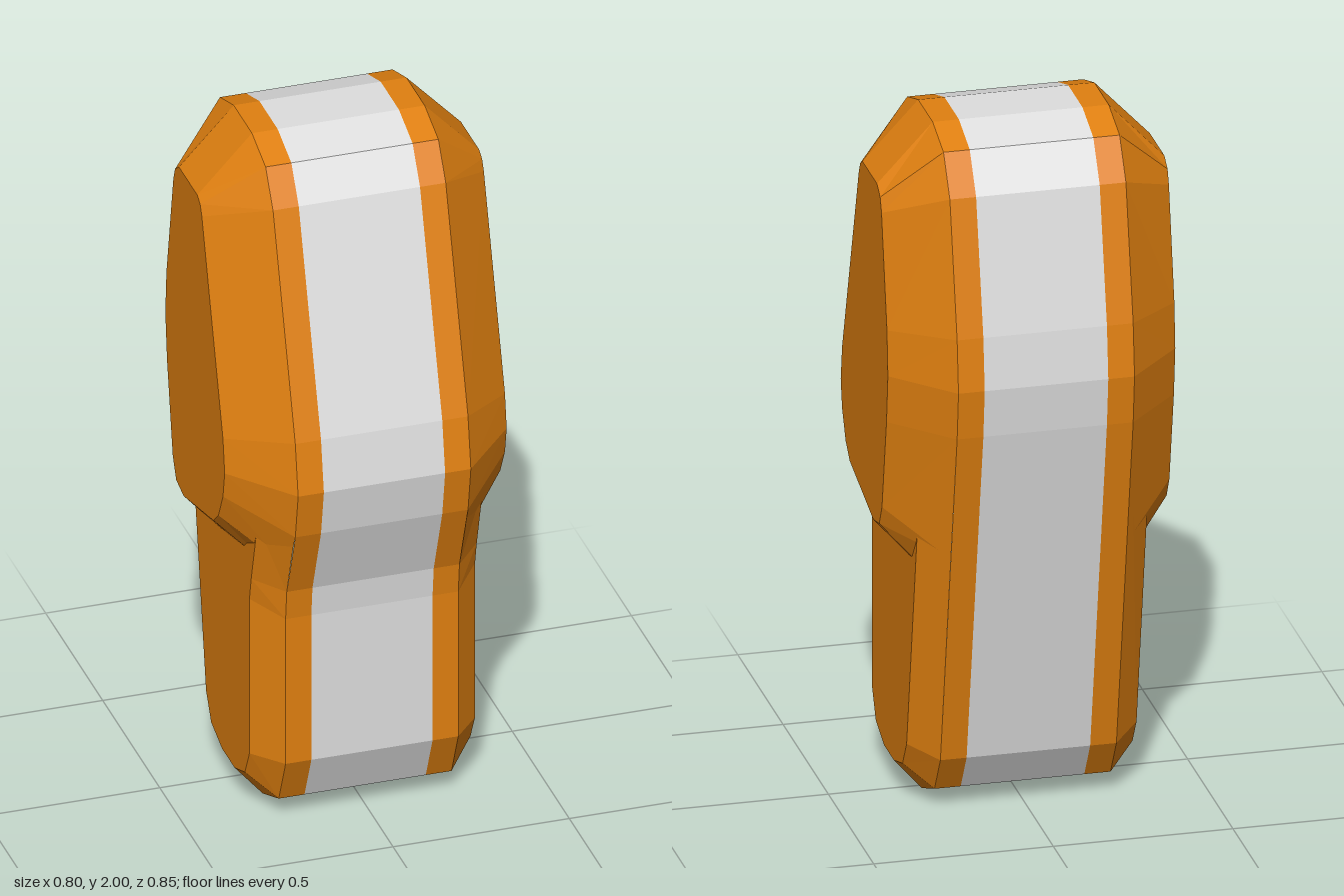
import * as THREE from 'three';

// Outlines as [z, y], running over the top, down the back and up the front.
const UPPER_RIM = [
  [0.02, 2], [-0.14, 2], [-0.26, 1.96], [-0.33, 1.85], [-0.41, 1.47], [-0.425, 1.32], [-0.41, 1.18],
  [-0.34, 0.8], [-0.25, 0.68], [-0.1, 0.66], [0.205, 0.745], [0.34, 0.82],
  [0.4, 0.95], [0.425, 1.09], [0.4, 1.24], [0.205, 1.86], [0.14, 1.96],
];
const UPPER_FACE = [
  [0.02, 1.835], [-0.14, 1.835], [-0.175, 1.81], [-0.19, 1.77], [-0.25, 1.45], [-0.26, 1.32], [-0.245, 1.18],
  [-0.195, 0.91], [-0.165, 0.85], [-0.1, 0.835], [0.16, 0.9], [0.205, 0.94],
  [0.245, 1.02], [0.26, 1.1], [0.245, 1.2], [0.06, 1.79], [0.045, 1.82],
];
const LOWER_RIM = [
  [-0.4, 1.13], [-0.225, 0.165], [-0.16, 0.055], [-0.02, 0], [0.115, 0], [0.255, 0.06],
  [0.315, 0.2], [0.315, 0.65], [0.325, 0.74], [0.395, 0.95], [0.4, 1],
];
const LOWER_FACE = [
  [-0.315, 1.13], [-0.15, 0.19], [-0.105, 0.115], [-0.01, 0.085], [0.1, 0.085], [0.19, 0.12],
  [0.23, 0.2], [0.23, 0.68], [0.245, 0.75], [0.3, 0.95], [0.31, 1],
];
// Whole silhouette: upper outline joined to the lower one
const SILHOUETTE = [...UPPER_RIM.slice(0, 7), ...LOWER_RIM.slice(1, 9), ...UPPER_RIM.slice(12)];

const STRIP = 0.172, CORE = 0.245;

// Faceted band from ring a at x0 to ring b at x1, optionally closed by a flat face at x1
function band(a, x0, b, x1, closed) {
  const pos = [];
  const flip = x1 < x0;
  const tri = (p, q, r) => pos.push(...p, ...(flip ? r : q), ...(flip ? q : r));
  const at = (x, [z, y]) => [x, y, z];
  const n = b.length;
  const mid = at(x1, [0, 1].map((k) => b.reduce((s, p) => s + p[k], 0) / n));
  for (let i = 0; i < n; i++) {
    const j = (i + 1) % n;
    const a0 = at(x0, a[i]), a1 = at(x0, a[j]), b0 = at(x1, b[i]), b1 = at(x1, b[j]);
    tri(a0, b0, b1);
    tri(a0, b1, a1);
    if (closed) tri(mid, b1, b0);
  }
  const geo = new THREE.BufferGeometry();
  geo.setAttribute('position', new THREE.Float32BufferAttribute(pos, 3));
  geo.computeVertexNormals();
  return geo;
}

export function createModel() {
  const orange = new THREE.MeshStandardMaterial({ color: 0xe08010 });
  orange.name = 'orange';
  const grey = new THREE.MeshStandardMaterial({ color: 0xdedede });
  grey.name = 'light grey';

  const model = new THREE.Group();
  model.name = 'body';
  const add = (name, geo, mat) => {
    const mesh = new THREE.Mesh(geo, mat);
    mesh.name = name;
    model.add(mesh);
  };

  // Grey stripe running all the way round the middle
  add('centreStripe', band(SILHOUETTE, -STRIP, SILHOUETTE, STRIP, false), grey);

  // Orange edge and bevelled side panels, mirrored
  for (const [side, s] of [['left', 1], ['right', -1]]) {
    add(side + 'Edge', band(SILHOUETTE, s * STRIP, SILHOUETTE, s * CORE, false), orange);
    add(side + 'UpperPanel', band(UPPER_RIM, s * CORE, UPPER_FACE, s * 0.4, true), orange);
    add(side + 'LowerPanel', band(LOWER_RIM, s * CORE, LOWER_FACE, s * 0.32, true), orange);
  }
  return model;
}
